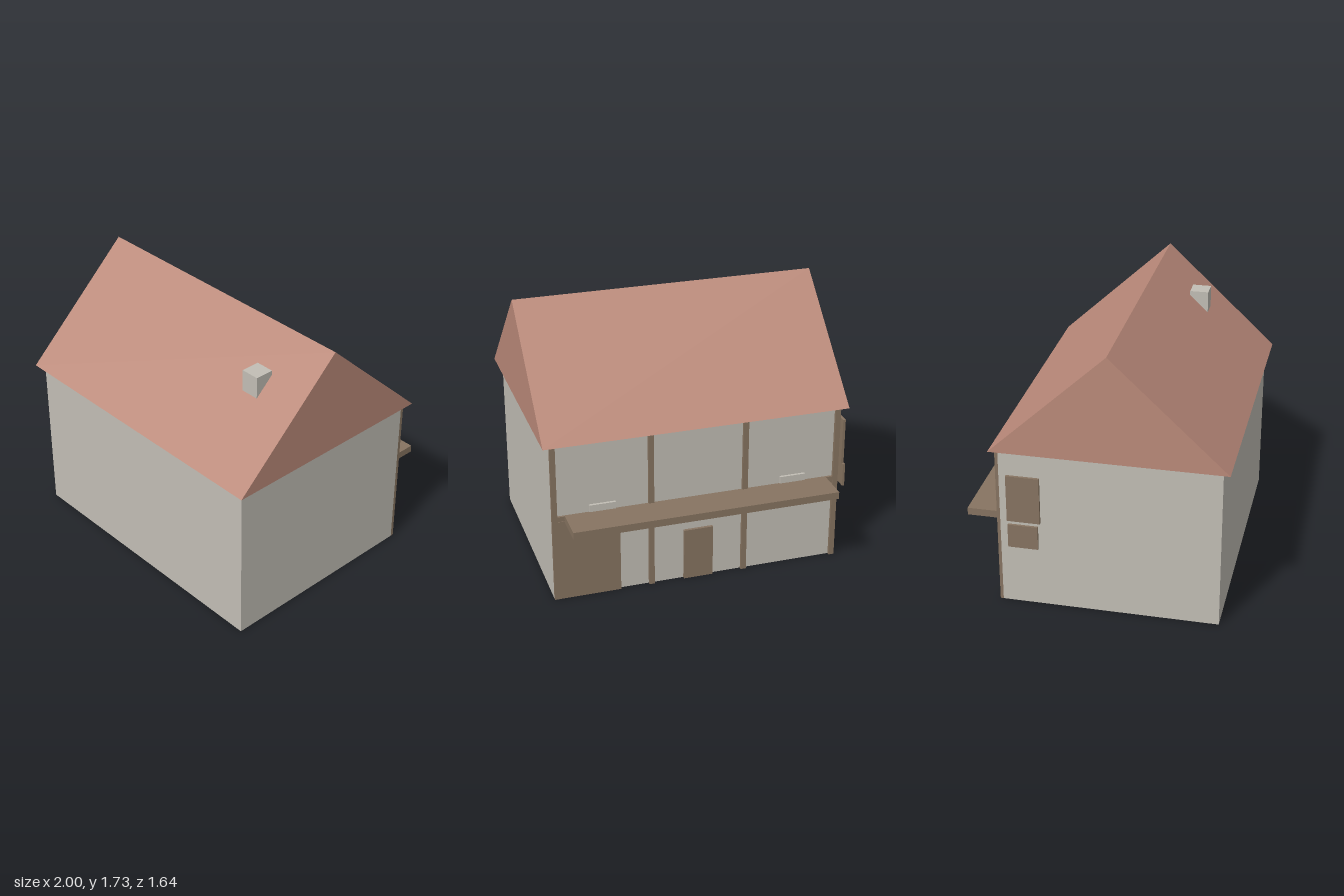
import * as THREE from 'three';

const material = (name, color) => {
  const m = new THREE.MeshStandardMaterial({ color });
  m.name = name;
  return m;
};

export function createModel() {
  const house = new THREE.Group();
  house.name = 'house';
  const plaster = material('plaster', 0xc2beb5);
  const tile = material('roofTile', 0xbb8a7a);
  const wood = material('wood', 0x877461);

  // Box given by its lower and upper limits on each axis
  const block = (name, mat, [x0, x1], [y0, y1], [z0, z1]) => {
    const mesh = new THREE.Mesh(new THREE.BoxGeometry(x1 - x0, y1 - y0, z1 - z0), mat);
    mesh.position.set((x0 + x1) / 2, (y0 + y1) / 2, (z0 + z1) / 2);
    mesh.name = name;
    house.add(mesh);
    return mesh;
  };

  // Main body
  block('walls', plaster, [-0.908, 0.955], [0, 1.052], [-0.585, 0.775]);

  // Closed gable roof, extruded along x (shape x runs towards -z)
  const gable = new THREE.Shape([
    new THREE.Vector2(-0.82, 1.052),
    new THREE.Vector2(0.635, 1.052),
    new THREE.Vector2(-0.093, 1.73),
  ]);
  const roof = new THREE.Mesh(
    new THREE.ExtrudeGeometry(gable, { depth: 1.95, bevelEnabled: false }), tile);
  roof.rotation.y = Math.PI / 2;
  roof.position.x = -0.95;
  roof.name = 'roof';
  house.add(roof);

  // Chimney rising through the front slope
  block('chimney', plaster, [0.585, 0.705], [1.3, 1.56], [0.305, 0.425]);

  // Timber frame on the back wall
  for (let i = 0; i < 4; i++) {
    const x = -0.891 + i * 0.6097;
    block('timberPost', wood, [x - 0.017, x + 0.017], [0, 1.052], [-0.605, -0.585]);
  }
  block('timberBeam', wood, [-0.9, 0.95], [0.53, 0.572], [-0.6, -0.585]);

  // Balcony slab
  block('balcony', wood, [-0.825, 0.875], [0.53, 0.577], [-0.82, -0.598]);

  // Back doors
  block('wideDoor', wood, [0.53, 0.925], [0, 0.54], [-0.604, -0.585]);
  block('smallDoor', wood, [-0.073, 0.117], [0, 0.345], [-0.604, -0.585]);

  // Pale panels behind the balcony
  for (const x of [-0.6, 0.637]) {
    block('backPanel', plaster, [x - 0.083, x + 0.083], [0.465, 0.622], [-0.602, -0.585]);
  }

  // Shutters standing off the right gable wall
  block('upperShutter', wood, [-0.983, -0.966], [0.612, 0.918], [-0.52, -0.315]);
  block('lowerShutter', wood, [-1.0, -0.985], [0.443, 0.597], [-0.512, -0.325]);

  return house;
}
